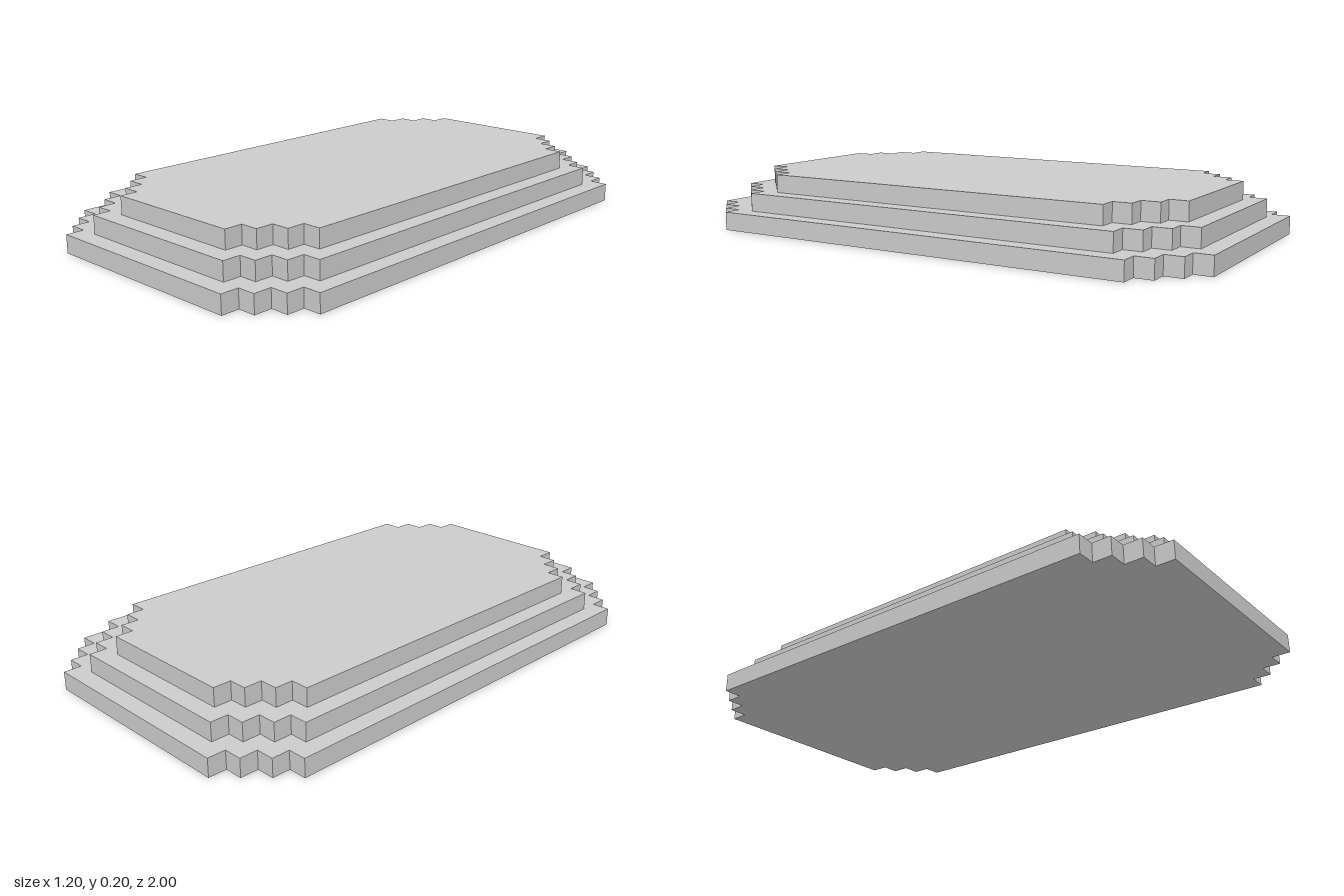
import * as THREE from 'three';

const U = 1 / 15; // one block
const STEPS = 3;  // notches per corner

// Rectangle outline with staircase corners, half sizes given in blocks
function steppedOutline(halfX, halfZ) {
  const corner = [];
  for (let i = 0; i <= STEPS; i++) {
    corner.push([halfX - i, halfZ - STEPS + i]);
    if (i < STEPS) corner.push([halfX - i - 1, halfZ - STEPS + i]);
  }
  const back = [...corner].reverse();
  const points = [
    ...corner,
    ...back.map(([x, z]) => [-x, z]),
    ...corner.map(([x, z]) => [-x, -z]),
    ...back.map(([x, z]) => [x, -z]),
  ];
  return new THREE.Shape(points.map(([x, z]) => new THREE.Vector2(x * U, z * U)));
}

export function createModel() {
  const model = new THREE.Group();
  model.name = 'steppedPlatform';
  const material = new THREE.MeshStandardMaterial({ color: 0xcccccc, flatShading: true });

  // Three stacked tiers, each inset by one block
  ['bottomTier', 'middleTier', 'topTier'].forEach((name, i) => {
    const geometry = new THREE.ExtrudeGeometry(steppedOutline(9 - i, 15 - i), {
      depth: U,
      bevelEnabled: false,
    });
    geometry.rotateX(-Math.PI / 2);
    const tier = new THREE.Mesh(geometry, material);
    tier.name = name;
    tier.position.y = i * U;
    model.add(tier);
  });

  return model;
}
